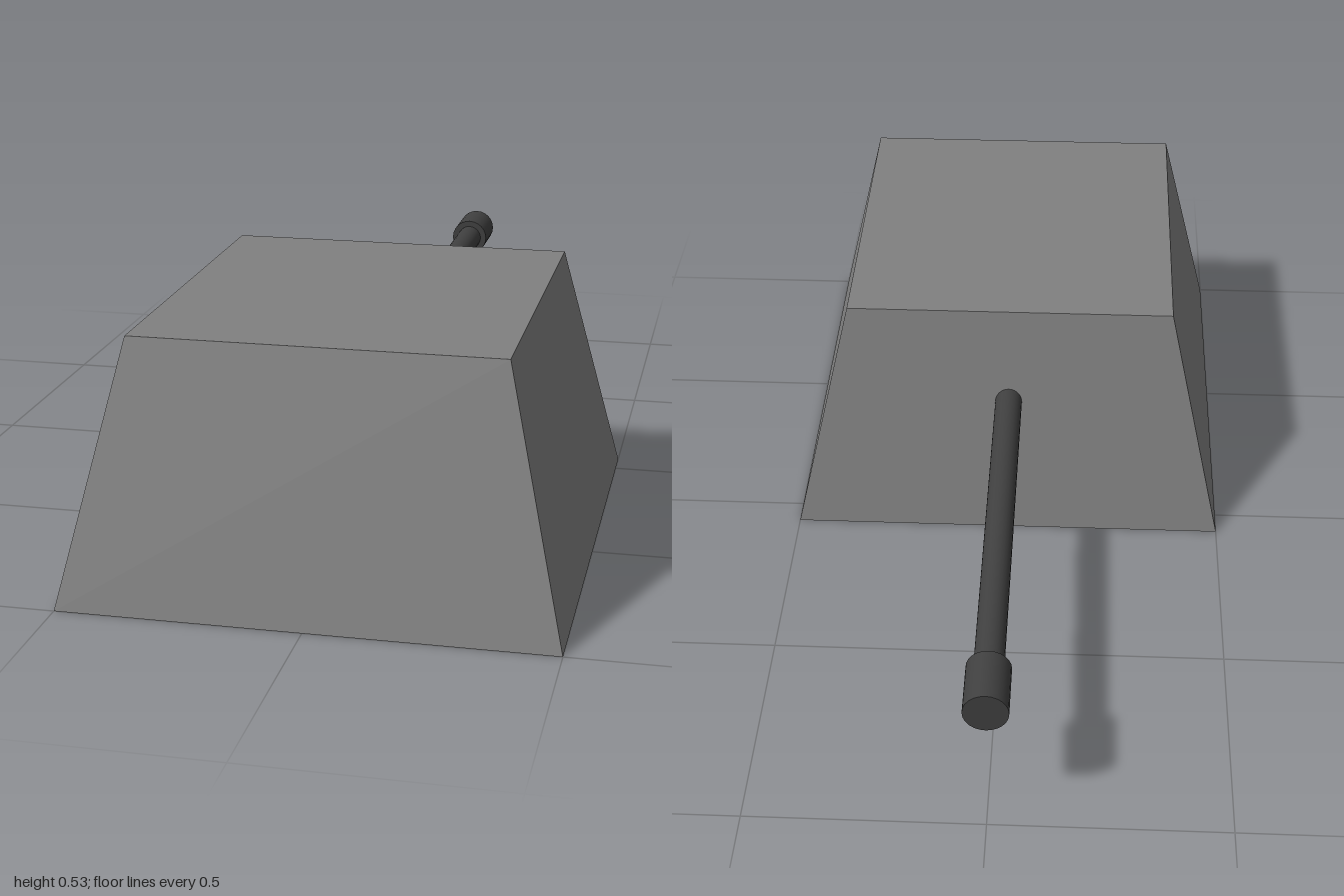
import * as THREE from 'three';

const H = 0.533; // turret height
const AXIS_Y = 0.316; // height of the gun axis

// Closed cylinder along z between two z positions
function rod(name, radius, z0, z1, material) {
  const geometry = new THREE.CylinderGeometry(radius, radius, Math.abs(z1 - z0), 24);
  geometry.rotateX(Math.PI / 2);
  const mesh = new THREE.Mesh(geometry, material);
  mesh.name = name;
  mesh.position.set(0, AXIS_Y, (z0 + z1) / 2);
  return mesh;
}

export function createModel() {
  const model = new THREE.Group();
  model.name = 'turret';
  const bodyMaterial = new THREE.MeshStandardMaterial({ color: 0x808080, flatShading: true });
  const gunMaterial = new THREE.MeshStandardMaterial({ color: 0x404040 });

  // Body: a box whose top corners are drawn in evenly on all four sides
  const body = new THREE.BoxGeometry(1, H, 1.0625);
  const p = body.attributes.position;
  for (let i = 0; i < p.count; i++) {
    if (p.getY(i) < 0) continue;
    p.setX(i, p.getX(i) - Math.sign(p.getX(i)) * 0.125);
    p.setZ(i, p.getZ(i) - Math.sign(p.getZ(i)) * 0.125);
  }
  body.computeVertexNormals();
  const bodyMesh = new THREE.Mesh(body, bodyMaterial);
  bodyMesh.name = 'turretBody';
  bodyMesh.position.set(0, H / 2, 0.46875);
  model.add(bodyMesh);

  // Gun pointing to the back, with a wider muzzle
  model.add(rod('barrel', 0.031, 0.06, -0.9, gunMaterial));
  model.add(rod('muzzle', 0.046, -0.875, -1, gunMaterial));

  return model;
}
